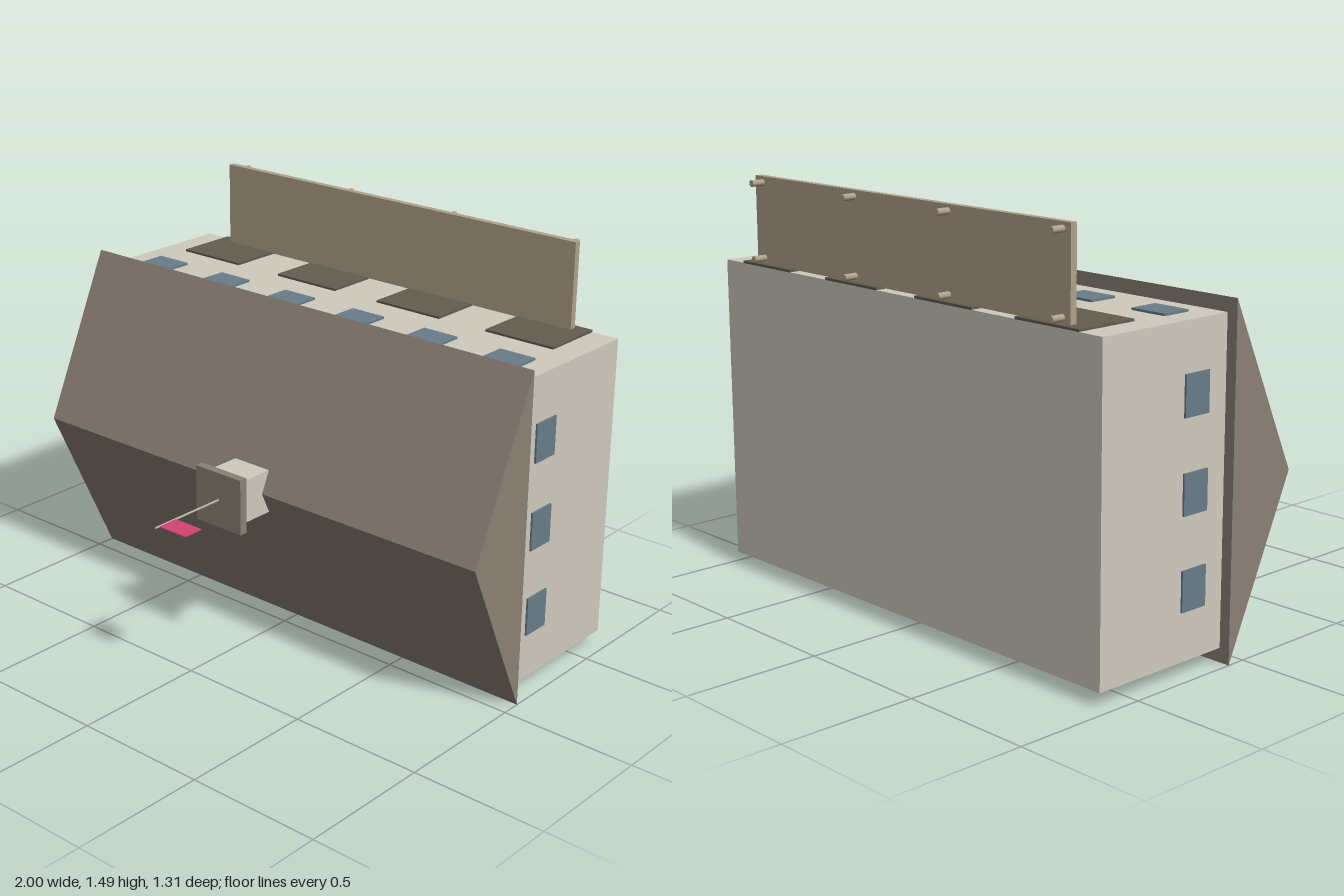
import * as THREE from 'three';

const mat = (name, color, extra = {}) => {
  const m = new THREE.MeshStandardMaterial({ color, ...extra });
  m.name = name;
  return m;
};

export function createModel() {
  const model = new THREE.Group();
  model.name = 'warehouse';
  const wall = mat('wallCream', 0xd0cbbe);
  const roofBrown = mat('roofBrown', 0x8b8175);
  const timber = mat('timber', 0xb0a28a);
  const glass = mat('windowBlue', 0x687d88);
  const door = mat('doorBrown', 0x645c50);
  const metal = mat('poleGrey', 0xb4b4ac);
  const red = mat('flagRed', 0xd2446f);

  const add = (name, geometry, material) => {
    const mesh = new THREE.Mesh(geometry, material);
    mesh.name = name;
    model.add(mesh);
    return mesh;
  };
  // Box given by its limits on each axis
  const box = (name, material, [x0, x1], [y0, y1], [z0, z1]) =>
    add(name, new THREE.BoxGeometry(x1 - x0, y1 - y0, z1 - z0), material)
      .position.set((x0 + x1) / 2, (y0 + y1) / 2, (z0 + z1) / 2);
  // Round rod along z
  const rod = (name, material, x, y, z0, z1, r) => {
    const mesh = add(name, new THREE.CylinderGeometry(r, r, z1 - z0, 8), material);
    mesh.rotation.x = Math.PI / 2;
    mesh.position.set(x, y, (z0 + z1) / 2);
  };

  // Main block
  box('walls', wall, [-0.96, 0.96], [0.05, 1.17], [-0.63, -0.07]);

  // Gable roof: triangle in (-z, y), extruded along x
  const gable = new THREE.Shape();
  gable.moveTo(0.07, 0);
  gable.lineTo(0.07, 1.22);
  gable.lineTo(-0.21, 0.61);
  gable.closePath();
  const roof = new THREE.ExtrudeGeometry(gable, { depth: 2, bevelEnabled: false });
  roof.rotateY(Math.PI / 2).translate(-1, 0, 0);
  add('roof', roof, roofBrown);

  // Cupola on the ridge, with cap, pole and flag
  box('cupola', wall, [-0.08, 0.08], [0.53, 0.69], [0.08, 0.318]);
  box('cupolaCap', roofBrown, [-0.105, 0.105], [0.507, 0.713], [0.317, 0.348]);
  rod('flagPole', metal, 0, 0.61, 0.345, 0.655, 0.004);
  box('flag', red, [0.003, 0.123], [0.608, 0.612], [0.56, 0.64]);

  // Windows along the long wall
  for (let i = 0; i < 6; i++) {
    const x = -0.8 + i * 0.32;
    box('frontWindow', glass, [x - 0.071, x + 0.071], [1.169, 1.178], [-0.265, -0.155]);
  }
  // Windows on both end walls
  for (const s of [-1, 1])
    for (const y of [0.29, 0.61, 0.93]) {
      const a = s * 0.959, b = s * 0.967;
      box('endWindow', glass, [Math.min(a, b), Math.max(a, b)],
        [y - 0.07, y + 0.07], [-0.265, -0.155]);
    }
  // Loading doors
  for (const x of [-0.72, -0.24, 0.237, 0.717])
    box('loadingDoor', door, [x - 0.14, x + 0.14], [1.169, 1.178], [-0.63, -0.39]);

  // Dock platform on two rows of posts
  box('dock', timber, [-0.8, 0.8], [1.175, 1.49], [-0.605, -0.58]);
  for (const x of [-0.765, -0.243, 0.237, 0.757])
    for (const y of [1.197, 1.468])
      rod('dockPost', timber, x, y, -0.655, -0.6, 0.012);

  return model;
}
